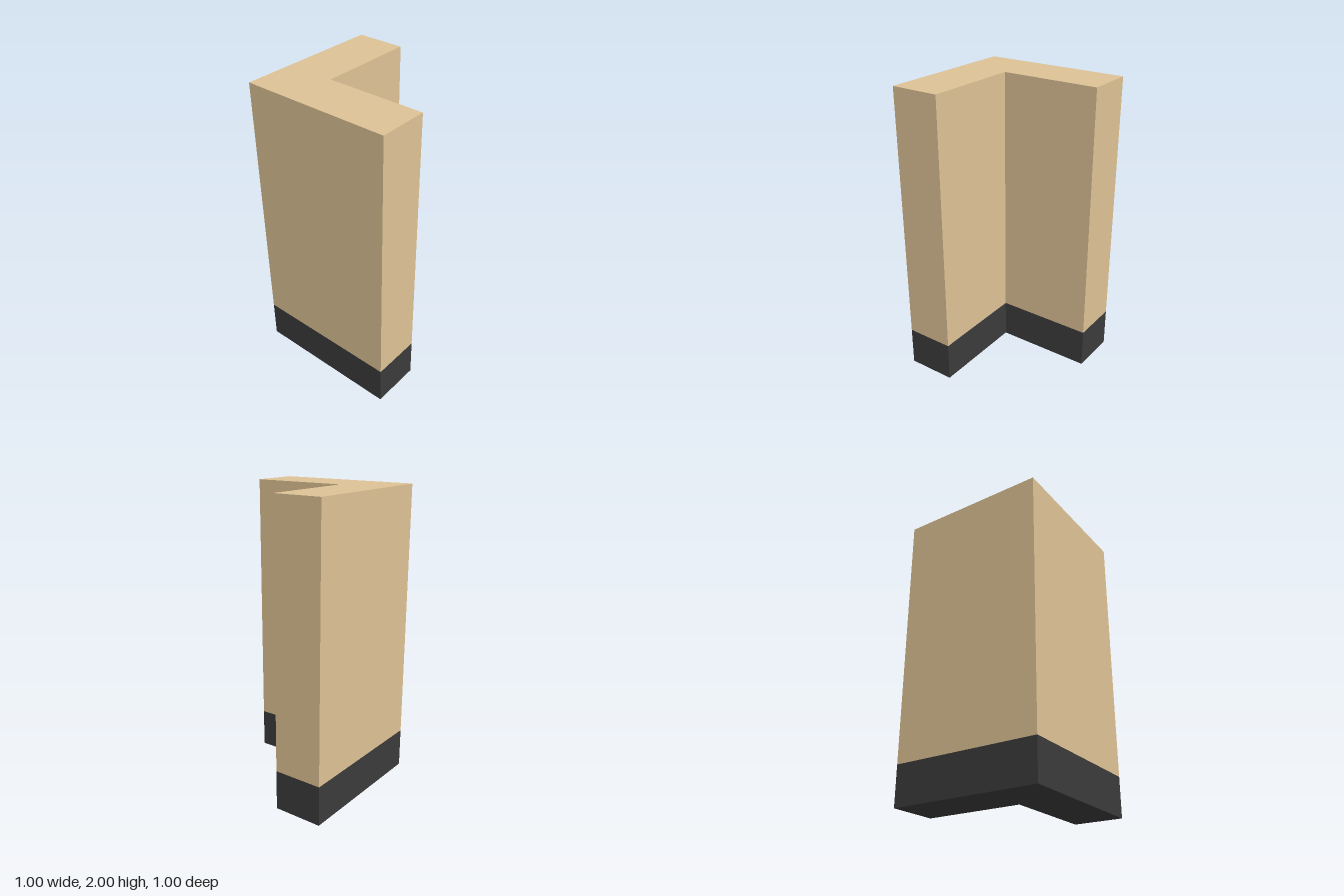
import * as THREE from 'three';

const HALF = 0.5;     // half the footprint
const INNER = -0.167; // inner faces of both wings
const BASE = 0.267;   // height of the dark plinth
const TOP = 2;

// L-shaped footprint, shape y = -z
function footprint() {
  return new THREE.Shape([
    [-HALF, -HALF], [INNER, -HALF], [INNER, -INNER],
    [HALF, -INNER], [HALF, HALF], [-HALF, HALF],
  ].map(([x, y]) => new THREE.Vector2(x, y)));
}

// Upright L-shaped prism between two heights
function prism(name, bottom, top, color) {
  const geometry = new THREE.ExtrudeGeometry(footprint(), { depth: top - bottom, bevelEnabled: false });
  geometry.rotateX(-Math.PI / 2);
  geometry.translate(0, bottom, 0);
  const mesh = new THREE.Mesh(geometry, new THREE.MeshStandardMaterial({ color }));
  mesh.name = name;
  return mesh;
}

export function createModel() {
  const group = new THREE.Group();
  group.name = 'cornerWall';
  group.add(
    prism('plinth', 0, BASE, 0x3b3b3b),
    prism('wall', BASE, TOP, 0xdec295),
  );
  return group;
}
